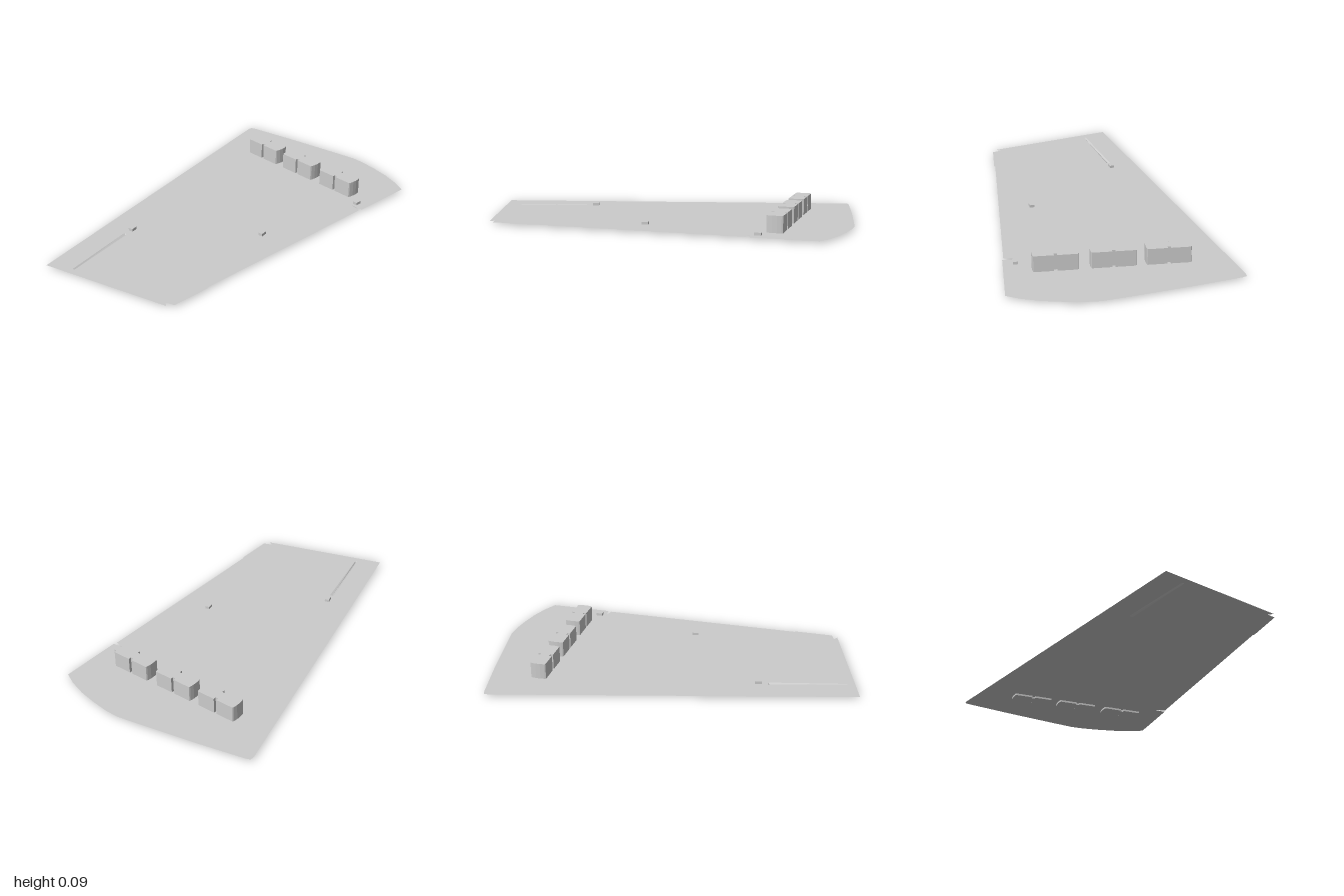
import * as THREE from 'three';

const GROUND_Y = 0.01;
const grey = new THREE.MeshStandardMaterial({ color: 0xcccccc, flatShading: true });
const sheet = new THREE.MeshStandardMaterial({ color: 0xcccccc, side: THREE.DoubleSide, flatShading: true });

// Plan outlines are [x, z]; the shape's y is -z so it lies face up once rotated.
const plan = (pts) => pts.map(([x, z]) => new THREE.Vector2(x, -z));

function addMesh(parent, name, geometry, material) {
  const mesh = new THREE.Mesh(geometry, material);
  mesh.name = name;
  parent.add(mesh);
  return mesh;
}

export function createModel() {
  const model = new THREE.Group();
  model.name = 'site';

  // Thin ground sheet with a slot for the ditch
  const ground = new THREE.Shape(plan([
    [-0.12, 0.995], [0.545, 0.797], [0.52, 0.78], [0.566, 0.765], [0.566, 0.56],
    [0.56, 0.55], [0.56, -0.545], [0.5, -0.558], [0.566, -0.563], [0.566, -0.9],
    [0.495, -0.935], [0.4, -0.966], [0.3, -0.986], [0.21, -0.998], [0.135, -1],
    [0, -0.977], [-0.3, -0.922], [-0.55, -0.87], [-0.572, -0.862], [-0.573, -0.84],
  ]));
  const ditch = [[-0.104, 0.52], [-0.083, 0.52], [0.006, 0.92], [-0.006, 0.92]];
  ground.holes.push(new THREE.Path(plan(ditch)));
  addMesh(model, 'ground', new THREE.ShapeGeometry(ground).rotateX(-Math.PI / 2), sheet)
    .position.y = GROUND_Y;

  // Shallow V-shaped ditch filling the slot
  const [a, b, c, d] = ditch.map(([x, z]) => [x, GROUND_Y, z]);
  const e = [-0.093, 0.004, 0.525], f = [0, 0.004, 0.915];
  const tris = [a, d, f, a, f, e, e, f, c, e, c, b, a, e, b, d, c, f];
  const ditchGeometry = new THREE.BufferGeometry();
  ditchGeometry.setAttribute('position', new THREE.Float32BufferAttribute(tris.flat(), 3));
  ditchGeometry.computeVertexNormals();
  addMesh(model, 'ditch', ditchGeometry, sheet);

  // Three long buildings with bowed ends and a notch in each long wall
  const half = [
    [0.008, -0.026], [0.008, -0.041], [0.106, -0.041], [0.109, -0.034], [0.112, -0.012],
    [0.112, 0.012], [0.109, 0.034], [0.106, 0.041], [0.008, 0.041], [0.008, 0.026],
  ];
  const footprint = [...half, ...half.map(([x, z]) => [-x, -z])];
  [[-0.231, -0.655], [0.038, -0.656], [0.317, -0.658]].forEach(([x, z], i) => {
    const geometry = new THREE.ExtrudeGeometry(new THREE.Shape(plan(footprint)), {
      depth: 0.095, bevelEnabled: false,
    }).rotateX(-Math.PI / 2);
    addMesh(model, `building${i + 1}`, geometry, grey).position.set(x, 0, z);
  });

  // Small huts
  [[0.503, -0.595, 0], [0.387, 0.012, 0.17], [-0.102, 0.468, 0.24]].forEach(([x, z, turn], i) => {
    const hut = addMesh(model, `hut${i + 1}`, new THREE.BoxGeometry(0.024, 0.014, 0.034), grey);
    hut.position.set(x, GROUND_Y + 0.007, z);
    hut.rotation.y = turn;
  });

  return model;
}
